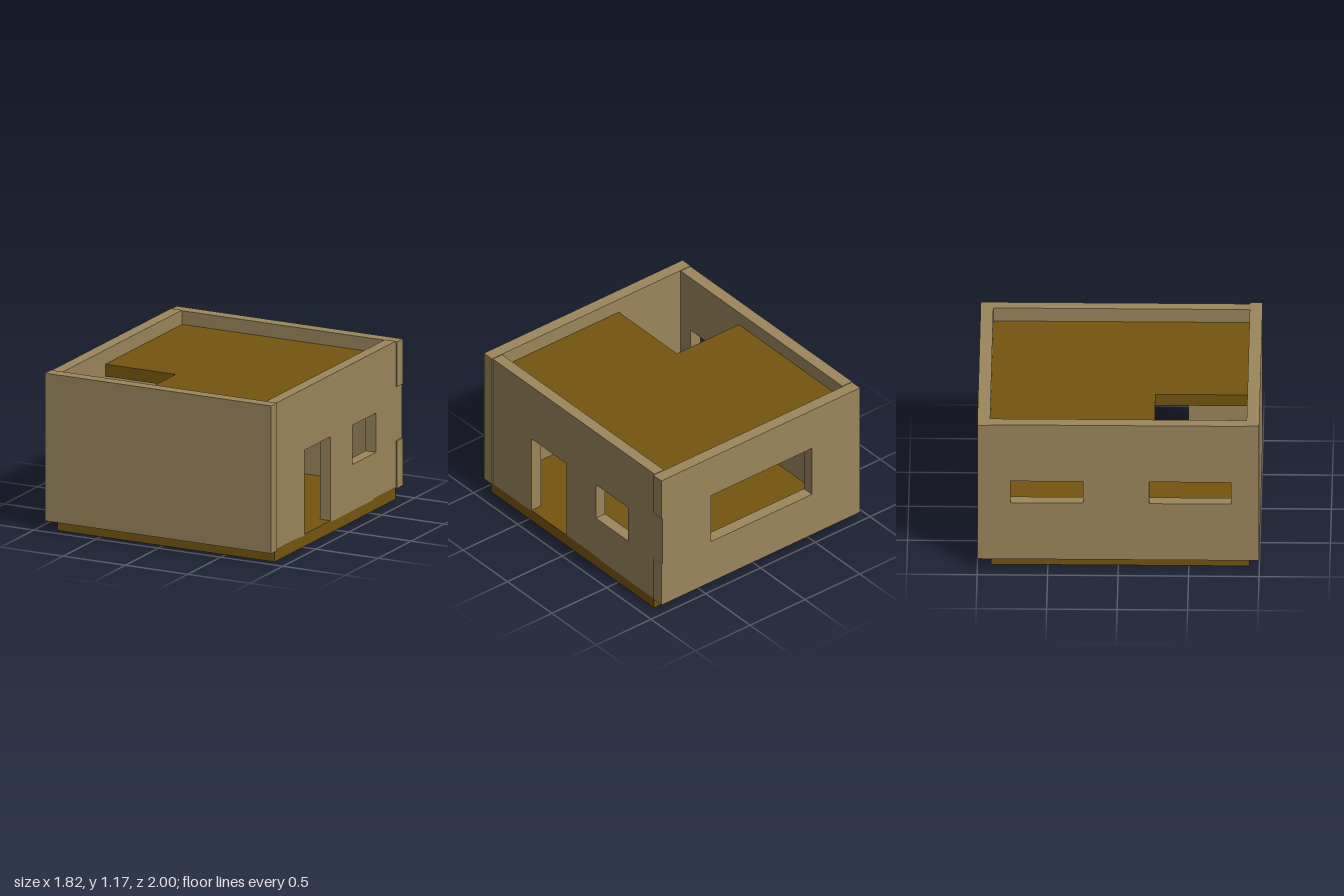
import * as THREE from 'three';

const BASE = 0.08; // underside of the walls

const polygon = (points, Type = THREE.Shape) => new Type(points.map(([a, b]) => new THREE.Vector2(a, b)));
const rect = (a0, a1, b0, b1) => [[a0, b0], [a1, b0], [a1, b1], [a0, b1]];

// Flat panel with rectangular openings, each given as [a0, a1, b0, b1]
function panel(outline, depth, openings = []) {
  const shape = polygon(outline);
  for (const o of openings) shape.holes.push(polygon(rect(...o).reverse(), THREE.Path));
  return new THREE.ExtrudeGeometry(shape, { depth, bevelEnabled: false });
}

export function createModel() {
  const group = new THREE.Group();
  const wallMaterial = new THREE.MeshStandardMaterial({ color: 0x9b865c });
  const slabMaterial = new THREE.MeshStandardMaterial({ color: 0x75550f });

  const add = (name, geometry, material) => {
    const mesh = new THREE.Mesh(geometry, material);
    mesh.name = name;
    group.add(mesh);
  };

  // Panel drawn in (x, y), thickness running forward from z
  const crossWall = (name, z, depth, outline, openings) =>
    add(name, panel(outline, depth, openings).translate(0, 0, z), wallMaterial);

  // Panel drawn in (z, y), thickness running toward -x from x
  const sideWall = (name, x, depth, outline, openings) =>
    add(name, panel(outline, depth, openings).rotateY(-Math.PI / 2).translate(x, 0, 0), wallMaterial);

  // Panel drawn in (x, z), thickness running down from y
  const slab = (name, y, depth, outline) =>
    add(name, panel(outline, depth).rotateX(Math.PI / 2).translate(0, y, 0), slabMaterial);

  // Floor, slightly inset under the walls
  slab('floor', 0.09, 0.09, rect(-0.845, 0.895, -0.905, 0.93));

  // Plain front wall
  crossWall('frontWall', 0.91, 0.09, rect(-0.91, 0.905, BASE, 1.17));

  // Back wall with a wide window; its +x end is set in beside the window
  crossWall('backWall', -1, 0.09, [
    [-0.91, BASE], [0.905, BASE], [0.905, 0.43], [0.895, 0.43],
    [0.895, 0.83], [0.905, 0.83], [0.905, 1.16], [-0.91, 1.16],
  ], [[-0.47, 0.45, 0.43, 0.83]]);

  // Wall with the doorway and one window
  sideWall('doorWall', 0.895, 0.085, [
    [-0.91, BASE], [0.08, BASE], [0.08, 0.71], [0.475, 0.71],
    [0.475, BASE], [0.91, BASE], [0.91, 1.165], [-0.91, 1.165],
  ], [[-0.61, -0.25, 0.42, 0.71]]);

  // Opposite wall with two low, wide windows
  sideWall('windowWall', -0.82, 0.09, rect(-0.91, 0.91, BASE, 1.165), [
    [-0.765, -0.25, 0.535, 0.71],
    [0.22, 0.8, 0.535, 0.71],
  ]);

  // Roof slab below the parapet, with one corner left open
  slab('roofSlab', 1.06, 0.09, [
    [-0.82, -0.91], [0.81, -0.91], [0.81, 0.91],
    [-0.255, 0.91], [-0.255, 0.255], [-0.82, 0.255],
  ]);

  return group;
}
